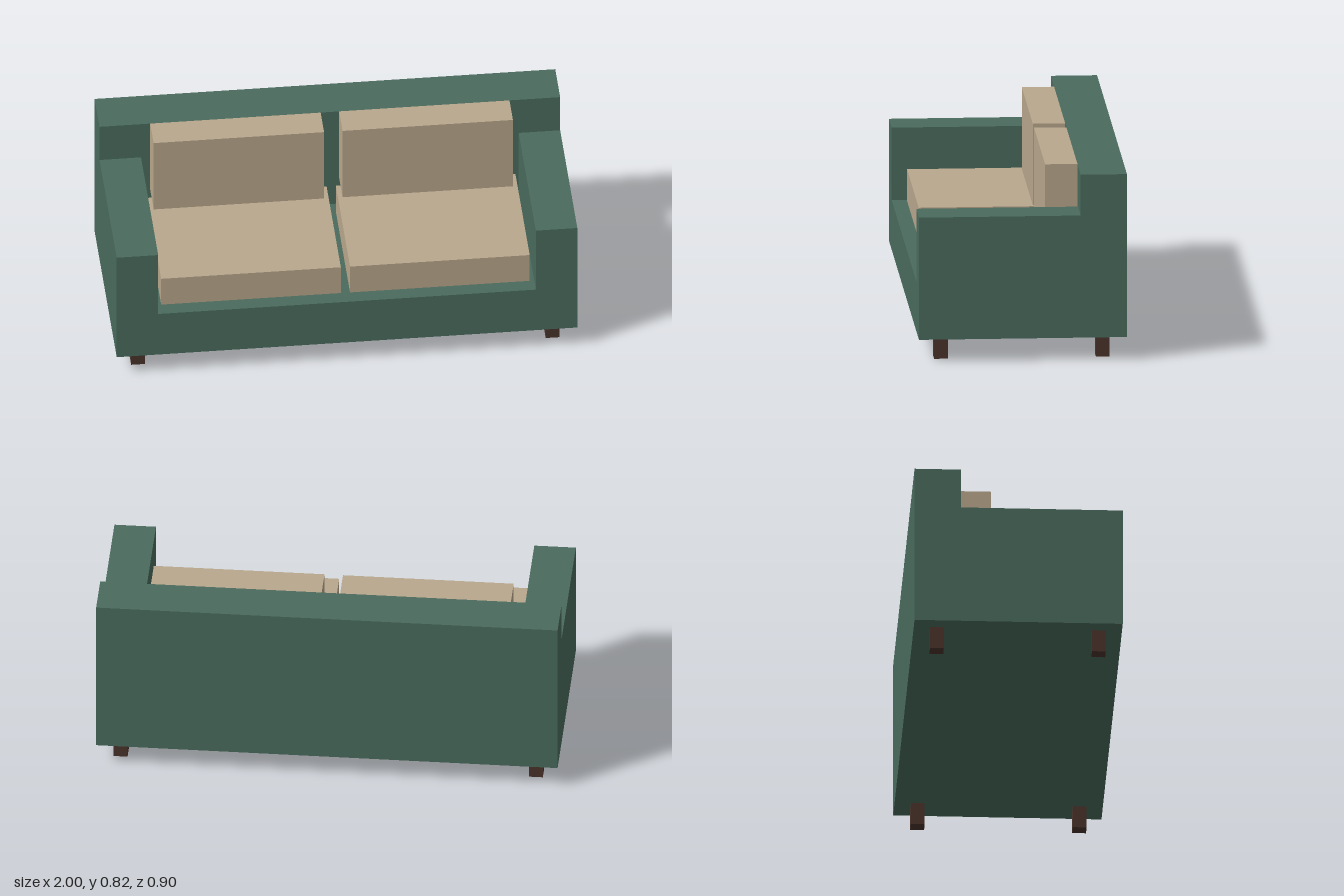
import * as THREE from 'three';

export function createModel() {
  const sofa = new THREE.Group();
  sofa.name = 'sofa';

  const material = (name, color) => {
    const m = new THREE.MeshStandardMaterial({ color });
    m.name = name;
    return m;
  };
  const green = material('green upholstery', 0x4a6b5d);
  const beige = material('beige cushion', 0xb8a78c);
  const wood = material('dark wood', 0x4a332a);

  const add = (name, geometry, mat) => {
    const mesh = new THREE.Mesh(geometry, mat);
    mesh.name = name;
    sofa.add(mesh);
    return mesh;
  };
  // Box given by its lower and upper corners
  const box = (name, mat, [x0, y0, z0], [x1, y1, z1]) =>
    add(name, new THREE.BoxGeometry(x1 - x0, y1 - y0, z1 - z0), mat)
      .position.set((x0 + x1) / 2, (y0 + y1) / 2, (z0 + z1) / 2);

  // Base and both arms: one U-shaped section run from the back to the front
  const section = new THREE.Shape([
    [-1, 0.1], [1, 0.1], [1, 0.64], [0.82, 0.64],
    [0.82, 0.32], [-0.82, 0.32], [-0.82, 0.64], [-1, 0.64],
  ].map(([x, y]) => new THREE.Vector2(x, y)));
  const frame = new THREE.ExtrudeGeometry(section, { depth: 0.7, bevelEnabled: false });
  frame.translate(0, 0, -0.25);
  add('baseAndArms', frame, green);

  // Full-width backrest
  box('backrest', green, [-1, 0.1, -0.45], [1, 0.82, -0.25]);

  // Cushions and legs, mirrored left and right
  for (const [side, s] of [['left', 1], ['right', -1]]) {
    const span = (a, b) => (s > 0 ? [a, b] : [-b, -a]);

    const [sx0, sx1] = span(0.02, 0.8);
    box(`${side}SeatCushion`, beige, [sx0, 0.32, -0.195], [sx1, 0.46, 0.385]);

    const [bx0, bx1] = span(0.04, 0.78);
    box(`${side}BackCushion`, beige, [bx0, 0.46, -0.25], [bx1, 0.82, -0.11]);

    const [lx0, lx1] = span(0.87, 0.93);
    for (const [end, z] of [['Front', 0.35], ['Back', -0.35]]) {
      box(`${side}${end}Leg`, wood, [lx0, 0, z - 0.03], [lx1, 0.1, z + 0.03]);
    }
  }

  return sofa;
}
